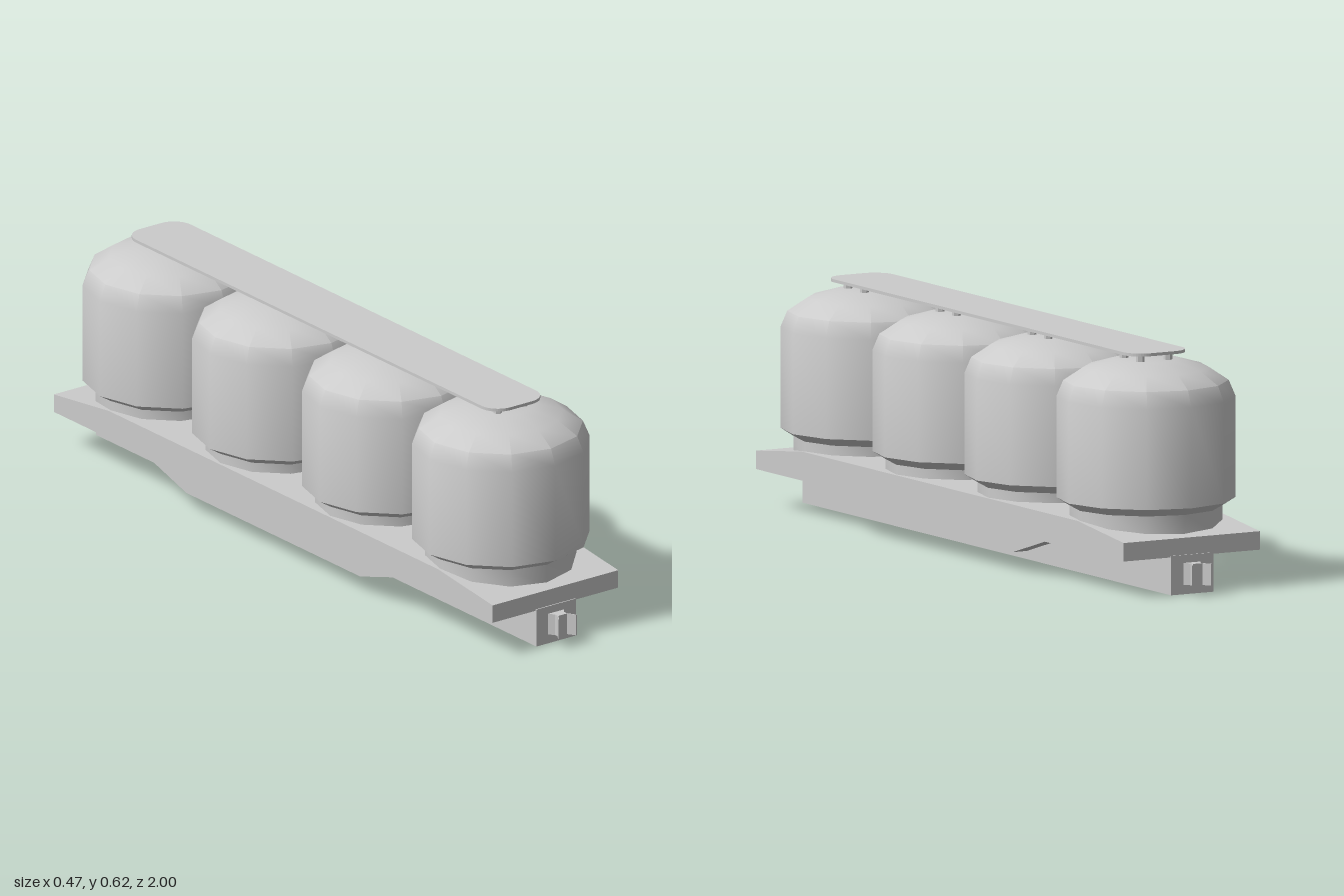
import * as THREE from 'three';
import { toCreasedNormals } from 'three/addons/utils/BufferGeometryUtils.js';

const material = new THREE.MeshStandardMaterial({ color: 0xcccccc });

function part(name, geometry, x = 0, y = 0, z = 0) {
  const mesh = new THREE.Mesh(geometry, material);
  mesh.name = name;
  mesh.position.set(x, y, z);
  return mesh;
}

// Extrudes a (z, y) side profile across x, centred on x = 0
function sideExtrude(points, width) {
  const shape = new THREE.Shape(points.map(([z, y]) => new THREE.Vector2(z, y)));
  const g = new THREE.ExtrudeGeometry(shape, { depth: width, bevelEnabled: false });
  return g.translate(0, 0, -width / 2).rotateY(-Math.PI / 2);
}

// Extrudes a plan shape upwards; the plan's y runs along -z
function planExtrude(shape, height) {
  const g = new THREE.ExtrudeGeometry(shape, { depth: height, bevelEnabled: false, curveSegments: 6 });
  return g.rotateX(-Math.PI / 2);
}

export function createModel() {
  const model = new THREE.Group();
  model.name = 'tankWagon';

  // Deck, sloping down towards both ends
  const deck = [[-0.947, 0.1], [0.947, 0.1], [0.947, 0.149], [0.71, 0.177], [-0.71, 0.177], [-0.947, 0.149]];
  model.add(part('deck', sideExtrude(deck, 0.414)));

  // Tapered skirts below the deck edges
  const skirt = [[-0.375, 0.051], [0.375, 0.051], [0.54, 0.1], [-0.54, 0.1]];
  for (const side of [-1, 1]) {
    model.add(part('sideSkirt', sideExtrude(skirt, 0.043), side * 0.1855));
  }

  // Centre beam
  model.add(part('centreBeam', new THREE.BoxGeometry(0.13, 0.104, 1.9), 0, 0.052, 0));

  // Forked coupler at each end
  const fork = new THREE.Shape([
    [-0.03, 0.945], [-0.015, 0.965], [-0.015, 0.975], [-0.03, 1], [-0.028, 1], [-0.014, 0.978],
    [0.014, 0.978], [0.028, 1], [0.03, 1], [0.015, 0.975], [0.015, 0.965], [0.03, 0.945],
  ].map(([x, z]) => new THREE.Vector2(x, z)));
  for (const end of [0, Math.PI]) {
    const coupler = part('coupler', planExtrude(fork, 0.058), 0, 0.025, 0);
    coupler.rotation.y = end;
    model.add(coupler);
  }

  // Four twelve-sided tanks with domed tops
  const profile = [
    [0, 0.145], [0.2, 0.145], [0.2, 0.203], [0.235, 0.225], [0.235, 0.492],
    [0.217, 0.535], [0.164, 0.57], [0.087, 0.592], [0, 0.592],
  ].map(([r, y]) => new THREE.Vector2(r, y));
  const tankGeometry = toCreasedNormals(new THREE.LatheGeometry(profile, 12), 0.65);
  const postGeometry = toCreasedNormals(new THREE.CylinderGeometry(0.0115, 0.0115, 0.024, 6), 0.3);
  for (const z of [-0.711, -0.237, 0.237, 0.711]) {
    const tank = new THREE.Group();
    tank.name = 'tank';
    tank.position.z = z;
    tank.add(part('tankBody', tankGeometry));
    // Posts carrying the walkway
    for (const px of [-0.042, 0.042]) {
      for (const pz of [-0.042, 0.042]) tank.add(part('walkwayPost', postGeometry, px, 0.601, pz));
    }
    model.add(tank);
  }

  // Walkway with rounded corners
  const w = 0.09, l = 0.8, r = 0.055;
  const walk = new THREE.Shape();
  walk.absarc(w - r, l - r, r, 0, Math.PI / 2);
  walk.absarc(-w + r, l - r, r, Math.PI / 2, Math.PI);
  walk.absarc(-w + r, -l + r, r, Math.PI, Math.PI * 1.5);
  walk.absarc(w - r, -l + r, r, Math.PI * 1.5, Math.PI * 2);
  model.add(part('walkway', planExtrude(walk, 0.008), 0, 0.612, 0));

  return model;
}
